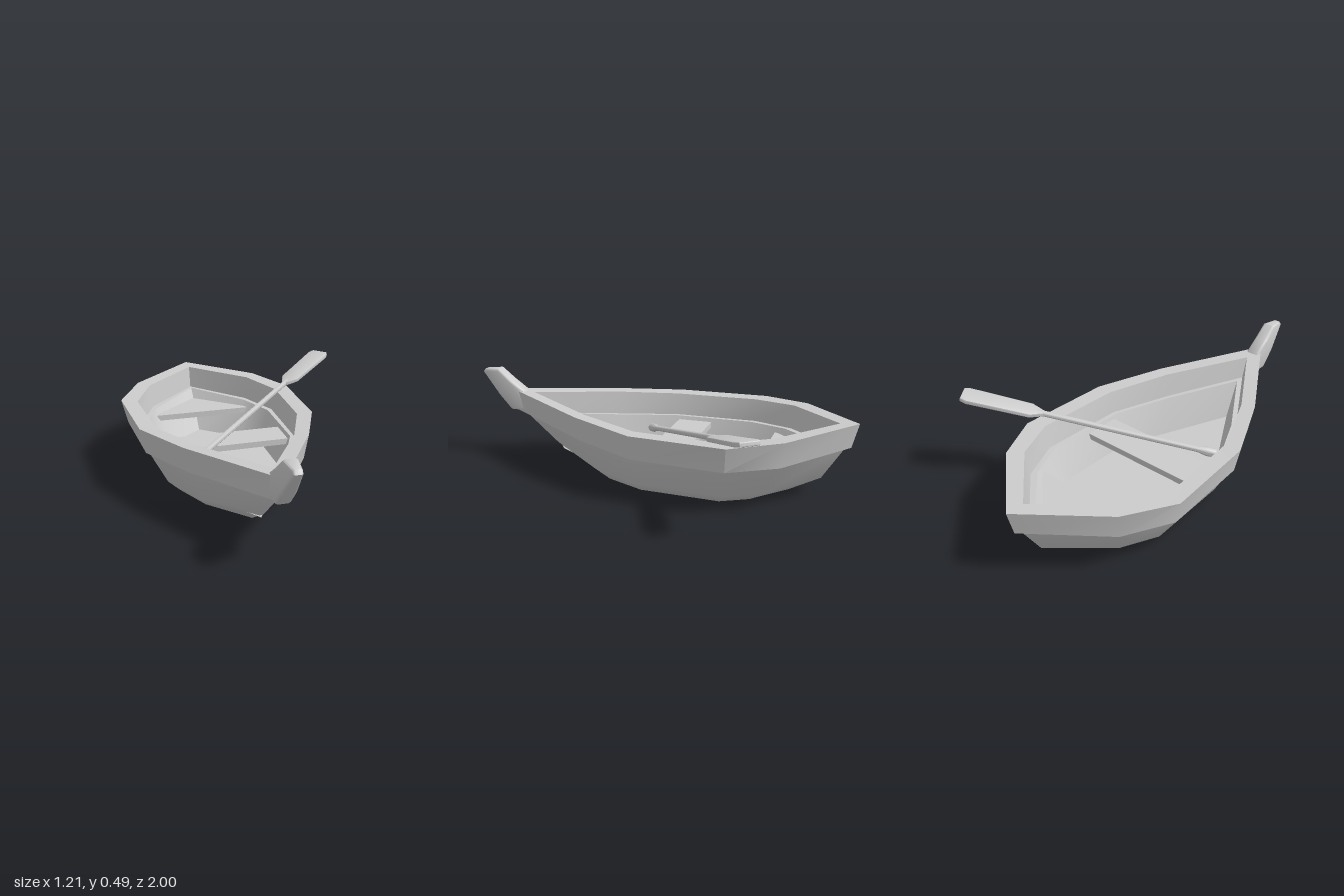
import * as THREE from 'three';
import { toCreasedNormals } from 'three/addons/utils/BufferGeometryUtils.js';

const CENTRE = -0.147; // x of the boat's centreline
const material = new THREE.MeshStandardMaterial({ color: 0xcccccc });

function add(parent, name, geometry) {
  const mesh = new THREE.Mesh(geometry, material);
  mesh.name = name;
  parent.add(mesh);
  return mesh;
}

// Mirrors half an outline (stern to bow, [z, halfWidth, y]) into a closed loop.
function ring(half) {
  const right = half.map(([z, w, y]) => new THREE.Vector3(w, y, z));
  const left = half.slice(1, -1).reverse().map(([z, w, y]) => new THREE.Vector3(-w, y, z));
  return [...right, ...left];
}

// Skins consecutive rings, leaving out triangles with no area.
function loft(halves, crease) {
  const rings = halves.map(ring);
  const positions = [];
  const tri = (a, b, c) => {
    const area = b.clone().sub(a).cross(c.clone().sub(a)).length();
    if (area > 1e-7) for (const p of [a, b, c]) positions.push(p.x, p.y, p.z);
  };
  for (let i = 0; i + 1 < rings.length; i++) {
    const n = rings[i].length;
    for (let j = 0; j < n; j++) {
      const k = (j + 1) % n;
      tri(rings[i][j], rings[i][k], rings[i + 1][k]);
      tri(rings[i][j], rings[i + 1][k], rings[i + 1][j]);
    }
  }
  const geometry = new THREE.BufferGeometry();
  geometry.setAttribute('position', new THREE.Float32BufferAttribute(positions, 3));
  return toCreasedNormals(geometry, crease);
}

const flatten = (half) => half.map(([z, , y]) => [z, 0, y]);

function extrude(points, depth, bevel) {
  const shape = new THREE.Shape(points.map(([x, y]) => new THREE.Vector2(x, y)));
  const geometry = new THREE.ExtrudeGeometry(shape, {
    depth: depth - 2 * bevel, bevelEnabled: bevel > 0,
    bevelThickness: bevel, bevelSize: bevel, bevelOffset: -bevel, bevelSegments: 2,
  });
  return geometry.translate(0, 0, bevel - depth / 2);
}

export function createModel() {
  const model = new THREE.Group();
  model.name = 'rowingBoat';
  const boat = new THREE.Group();
  boat.name = 'boat';
  boat.position.x = CENTRE;
  model.add(boat);

  // Hull: inside floor and walls, then outside planking and flat bottom
  const floor = [[-0.68, 0, 0.05], [-0.5, 0.2, 0.05], [-0.38, 0.28, 0.05], [0, 0.27, 0.05], [0.22, 0.17, 0.05], [0.54, 0, 0.07]];
  const innerWall = [[-0.86, 0, 0.25], [-0.61, 0.25, 0.23], [-0.42, 0.335, 0.22], [0, 0.32, 0.22], [0.28, 0.2, 0.23], [0.62, 0, 0.26]];
  const hullTop = [[-0.945, 0, 0.25], [-0.68, 0.31, 0.225], [-0.45, 0.415, 0.213], [0, 0.395, 0.213], [0.31, 0.26, 0.23], [0.77, 0, 0.265]];
  const chine = [[-0.84, 0, 0.08], [-0.6, 0.24, 0.055], [-0.43, 0.32, 0.05], [0, 0.31, 0.05], [0.26, 0.21, 0.06], [0.57, 0, 0.1]];
  const bottom = [[-0.69, 0, 0], [-0.53, 0.19, 0], [-0.4, 0.265, 0], [0, 0.255, 0], [0.2, 0.17, 0], [0.4, 0, 0]];
  add(boat, 'hullInside', loft([flatten(floor), floor, innerWall], 0.6));
  add(boat, 'hullOutside', loft([hullTop, chine, bottom, flatten(bottom)], 0.8));

  // Thick rim band around the gunwale
  const rimInnerBottom = [[-0.89, 0, 0.25], [-0.64, 0.265, 0.23], [-0.43, 0.36, 0.22], [0, 0.34, 0.22], [0.3, 0.215, 0.23], [0.67, 0, 0.26]];
  const rimInnerTop = [[-0.91, 0, 0.365], [-0.65, 0.28, 0.35], [-0.43, 0.38, 0.335], [0, 0.355, 0.335], [0.31, 0.23, 0.35], [0.7, 0, 0.37]];
  const rimOuterTop = [[-1, 0, 0.372], [-0.71, 0.335, 0.353], [-0.47, 0.46, 0.337], [0, 0.435, 0.337], [0.33, 0.295, 0.352], [0.84, 0, 0.38]];
  const rimOuterBottom = [[-0.97, 0, 0.25], [-0.69, 0.32, 0.225], [-0.46, 0.43, 0.213], [0, 0.41, 0.213], [0.32, 0.275, 0.23], [0.81, 0, 0.265]];
  add(boat, 'rim', loft([innerWall, rimInnerBottom, rimInnerTop, rimOuterTop, rimOuterBottom, hullTop], 0.5));

  // Stem post rising from the bow, narrowing toward its tip
  const post = extrude([[0.72, 0.27], [0.83, 0.27], [0.9, 0.345], [1, 0.465], [0.985, 0.482], [0.9, 0.49], [0.83, 0.435], [0.75, 0.38]], 0.072, 0.014);
  const p = post.attributes.position;
  for (let i = 0; i < p.count; i++) {
    const t = THREE.MathUtils.smoothstep(p.getX(i), 0.88, 1);
    p.setZ(i, p.getZ(i) * (1 - 0.4 * t));
  }
  post.rotateY(-Math.PI / 2);
  add(boat, 'stemPost', toCreasedNormals(post, 0.8));

  // Middle bench
  add(boat, 'middleBench', new THREE.BoxGeometry(0.655, 0.03, 0.18)).position.set(0, 0.185, -0.11);

  // Stern bench fitted to the pointed stern
  const bench = extrude([[-0.28, 0.56], [-0.255, 0.62], [0, 0.87], [0.255, 0.62], [0.28, 0.56]], 0.03, 0);
  bench.rotateX(-Math.PI / 2);
  add(boat, 'sternBench', bench).position.y = 0.185;

  // Oar laid across the boat, built along its own y axis
  const oar = new THREE.Group();
  oar.name = 'oar';
  const start = new THREE.Vector3(-0.375, 0.165, 0.11);
  const end = new THREE.Vector3(0.575, 0.468, -0.63);
  const length = start.distanceTo(end);
  const along = end.clone().sub(start).normalize();
  const across = new THREE.Vector3(along.z, 0, -along.x).normalize();
  const normal = across.clone().cross(along);
  oar.quaternion.setFromRotationMatrix(new THREE.Matrix4().makeBasis(across, along, normal));
  oar.position.copy(start);
  model.add(oar);

  // Handle grip and round shaft
  const shaft = [[0, 0], [0.021, 0], [0.023, 0.04], [0.014, 0.09], [0.014, 0.88], [0, 0.9]];
  add(oar, 'oarShaft', toCreasedNormals(new THREE.LatheGeometry(shaft.map(([r, y]) => new THREE.Vector2(r, y)), 10), 0.7));

  // Flat blade
  const half = [[0.014, 0.85], [0.05, 0.91], [0.058, length - 0.03], [0.045, length]];
  const mirrored = half.map(([x, y]) => [-x, y]).reverse();
  add(oar, 'oarBlade', toCreasedNormals(extrude([...half, ...mirrored], 0.022, 0.006), 0.6));

  return model;
}
